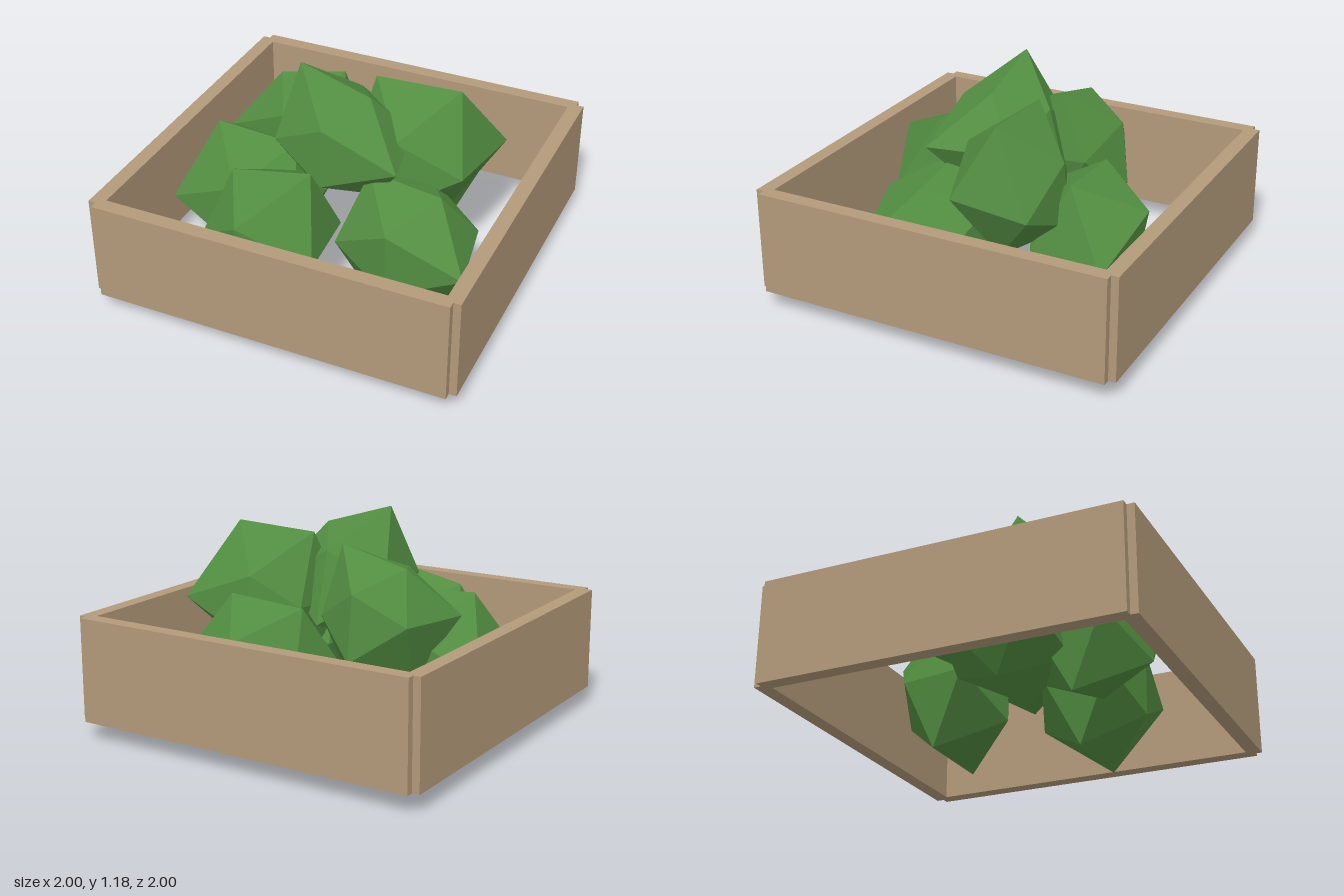
import * as THREE from 'three';

const wood = new THREE.MeshStandardMaterial({ color: 0xb39a7a });
wood.name = 'wood';
const leaf = new THREE.MeshStandardMaterial({ color: 0x528d41, flatShading: true });
leaf.name = 'leafGreen';

// Corner directions of an icosahedron: two on top, two below, four front/back, four sides
const A = 0.5257, B = 0.8507;
const corners = [
  [-A, B, 0], [A, B, 0], [-A, -B, 0], [A, -B, 0],
  [0, -A, B], [0, A, B], [0, -A, -B], [0, A, -B],
  [B, 0, -A], [B, 0, A], [-B, 0, -A], [-B, 0, A],
].map((c) => new THREE.Vector3(...c));

// Each clump: centre, then the radius at each of the twelve corners
const clumps = [
  { at: [0, 0.81, 0.08], radii: [0.44, 0.30, 0.38, 0.38, 0.32, 0.30, 0.42, 0.30, 0.38, 0.48, 0.37, 0.35] },
  { at: [-0.24, 0.40, 0.48], radii: [0.37, 0.475, 0.46, 0.33, 0.39, 0.416, 0.38, 0.35, 0.38, 0.42, 0.38, 0.34] },
  { at: [0.32, 0.68, -0.16], radii: [0.44, 0.46, 0.38, 0.38, 0.38, 0.34, 0.34, 0.30, 0.49, 0.40, 0.29, 0.35] },
  { at: [-0.32, 0.67, -0.19], radii: [0.305, 0.41, 0.38, 0.38, 0.38, 0.37, 0.35, 0.305, 0.29, 0.35, 0.302, 0.423] },
  { at: [-0.45, 0.385, 0.16], radii: [0.447, 0.41, 0.36, 0.37, 0.36, 0.34, 0.36, 0.34, 0.38, 0.38, 0.475, 0.466] },
  { at: [0.44, 0.393, 0.24], radii: [0.40, 0.34, 0.456, 0.456, 0.34, 0.347, 0.36, 0.36, 0.376, 0.47, 0.36, 0.376] },
  { at: [0.16, 0.39, -0.48], radii: [0.40, 0.43, 0.45, 0.447, 0.38, 0.38, 0.31, 0.39, 0.478, 0.35, 0.317, 0.38] },
];

// Faceted clump: every corner pushed out to its own radius
function clumpGeometry(radii) {
  const geometry = new THREE.IcosahedronGeometry(1, 0);
  const pos = geometry.attributes.position;
  const v = new THREE.Vector3();
  for (let i = 0; i < pos.count; i++) {
    v.fromBufferAttribute(pos, i);
    const k = corners.findIndex((c) => c.dot(v) > 0.98);
    v.multiplyScalar(radii[k]);
    pos.setXYZ(i, v.x, v.y, v.z);
  }
  geometry.computeVertexNormals();
  return geometry;
}

export function createModel() {
  const model = new THREE.Group();
  model.name = 'planter';

  // Open frame of four boards with small notches at the corners
  const frame = new THREE.Group();
  frame.name = 'frame';
  const thickness = 0.08, bottom = 0.1, top = 0.655;
  ['frontBoard', 'leftBoard', 'backBoard', 'rightBoard'].forEach((name, i) => {
    const board = new THREE.Mesh(new THREE.BoxGeometry(1.92, top - bottom, thickness), wood);
    const angle = (i * Math.PI) / 2;
    const d = 1 - thickness / 2;
    board.name = name;
    board.position.set(Math.sin(angle) * d, (top + bottom) / 2, Math.cos(angle) * d);
    board.rotation.y = angle;
    frame.add(board);
  });
  model.add(frame);

  // Heap of leafy clumps
  const bush = new THREE.Group();
  bush.name = 'bush';
  clumps.forEach(({ at, radii }, i) => {
    const clump = new THREE.Mesh(clumpGeometry(radii), leaf);
    clump.name = `leafClump${i + 1}`;
    clump.position.set(...at);
    bush.add(clump);
  });
  model.add(bush);

  return model;
}
